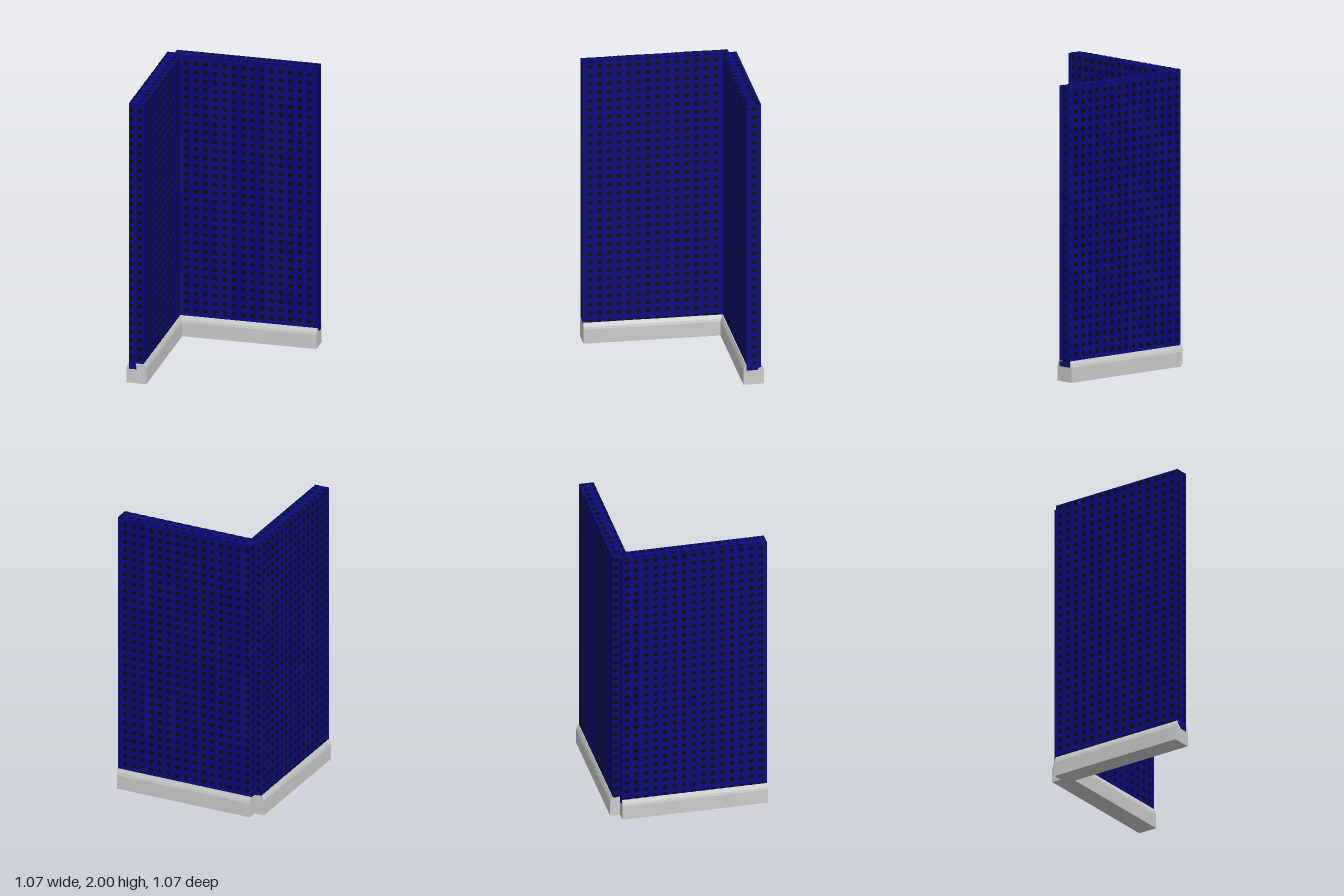
import * as THREE from 'three';
import { mergeGeometries } from 'three/addons/utils/BufferGeometryUtils.js';

const MID = -0.465;          // centre line of both walls
const OUT = -0.516, IN = -0.415, END = 0.532;
const TOP = 2, FOOT = 0.14;
const PITCH_U = 0.0654, PITCH_V = 0.0609, RADIUS = 0.0175;

const wallBlue = new THREE.MeshStandardMaterial({ name: 'navy wall', color: 0x0b0b7c });
const dotBlack = new THREE.MeshStandardMaterial({ name: 'black dots', color: 0x0b0b0b });
const baseGrey = new THREE.MeshStandardMaterial({ name: 'light grey skirting', color: 0xcccccc });

// Grid of flat dots on one face, clipped to its edges.
// u and v are the face axes; each range is [min, max, position of one dot, pitch].
function dotFace(name, u, v, offset, uRange, vRange) {
  const U = new THREE.Vector3(...u), V = new THREE.Vector3(...v);
  const N = U.clone().cross(V);
  const basis = new THREE.Matrix4().makeBasis(U, V, N);
  const steps = ([min, max, start, pitch]) => {
    const list = [];
    const first = start + Math.ceil((min - RADIUS * 0.8 - start) / pitch) * pitch;
    for (let p = first; p < max + RADIUS * 0.8; p += pitch) list.push(p);
    return list;
  };
  const dots = [];
  for (const a of steps(uRange)) {
    for (const b of steps(vRange)) {
      const dot = new THREE.CircleGeometry(RADIUS, 8, Math.PI / 8).translate(a, b, offset + 0.0015);
      const p = dot.attributes.position;
      for (let i = 0; i < p.count; i++) {
        p.setXY(i,
          THREE.MathUtils.clamp(p.getX(i), uRange[0], uRange[1]),
          THREE.MathUtils.clamp(p.getY(i), vRange[0], vRange[1]));
      }
      dots.push(dot.applyMatrix4(basis));
    }
  }
  const mesh = new THREE.Mesh(mergeGeometries(dots), dotBlack);
  mesh.name = name;
  return mesh;
}

// One length of skirting running along +z, with rounded-off top edges
function skirting() {
  const half = [[0.069, 0], [0.069, 0.1], [0.065, 0.118], [0.055, 0.143]];
  const points = [...half, ...half.map(([x, y]) => [-x, y]).reverse()];
  const shape = new THREE.Shape(points.map(([x, y]) => new THREE.Vector2(x, y)));
  return new THREE.ExtrudeGeometry(shape, { depth: END - MID, bevelEnabled: false });
}

export function createModel() {
  const model = new THREE.Group();
  model.name = 'cornerWall';

  // L-shaped wall with a small notch at the outer corner
  const plan = [[OUT, END], [IN, END], [IN, IN], [END, IN], [END, OUT], [MID, OUT], [MID, MID], [OUT, MID]];
  const wallGeometry = new THREE.ExtrudeGeometry(
    new THREE.Shape(plan.map(([x, z]) => new THREE.Vector2(x, -z))),
    { depth: TOP - 0.1, bevelEnabled: false });
  wallGeometry.rotateX(-Math.PI / 2).translate(0, 0.1, 0);
  const wall = new THREE.Mesh(wallGeometry, wallBlue);
  wall.name = 'wall';
  model.add(wall);

  // Skirting under each wall
  const sideBase = new THREE.Mesh(skirting(), baseGrey);
  sideBase.name = 'sideSkirting';
  sideBase.position.set(MID, 0, MID);
  const backBase = new THREE.Mesh(skirting(), baseGrey);
  backBase.name = 'backSkirting';
  backBase.position.set(MID, 0, MID);
  backBase.rotation.y = Math.PI / 2;
  model.add(sideBase, backBase);

  // Dots on every wall face
  const X = [1, 0, 0], nX = [-1, 0, 0], Y = [0, 1, 0], Z = [0, 0, 1], nZ = [0, 0, -1];
  const rowsZ = [FOOT, TOP, 1.952, PITCH_V];   // faces looking along z
  const rowsX = [FOOT, TOP, 1.973, PITCH_V];   // faces looking along x
  const P = PITCH_U;
  model.add(
    dotFace('backWallInnerDots', X, Y, IN, [IN, END, 0.479, P], rowsZ),
    dotFace('sideWallEndDots', X, Y, END, [OUT, IN, -0.437, P], rowsZ),
    dotFace('backWallOuterDots', nX, Y, -OUT, [-END, -MID, -0.479, P], rowsZ),
    dotFace('sideNotchDots', nX, Y, -MID, [-MID, -OUT, 0.495, P], rowsZ),
    dotFace('sideWallInnerDots', nZ, Y, IN, [-END, -IN, -0.485, P], rowsX),
    dotFace('backWallEndDots', nZ, Y, END, [-IN, -OUT, 0.468, P], rowsX),
    dotFace('sideWallOuterDots', Z, Y, -OUT, [MID, END, 0.485, P], rowsX),
    dotFace('backNotchDots', Z, Y, -MID, [OUT, MID, -0.495, P], rowsX),
    dotFace('backWallTopDots', X, nZ, TOP, [-0.43, END, 0.446, P], [-IN, -OUT, 0.488, P]),
    dotFace('sideWallTopDots', X, nZ, TOP, [OUT, IN, -0.443, P], [-END, -MID, -0.477, P]),
  );
  return model;
}
